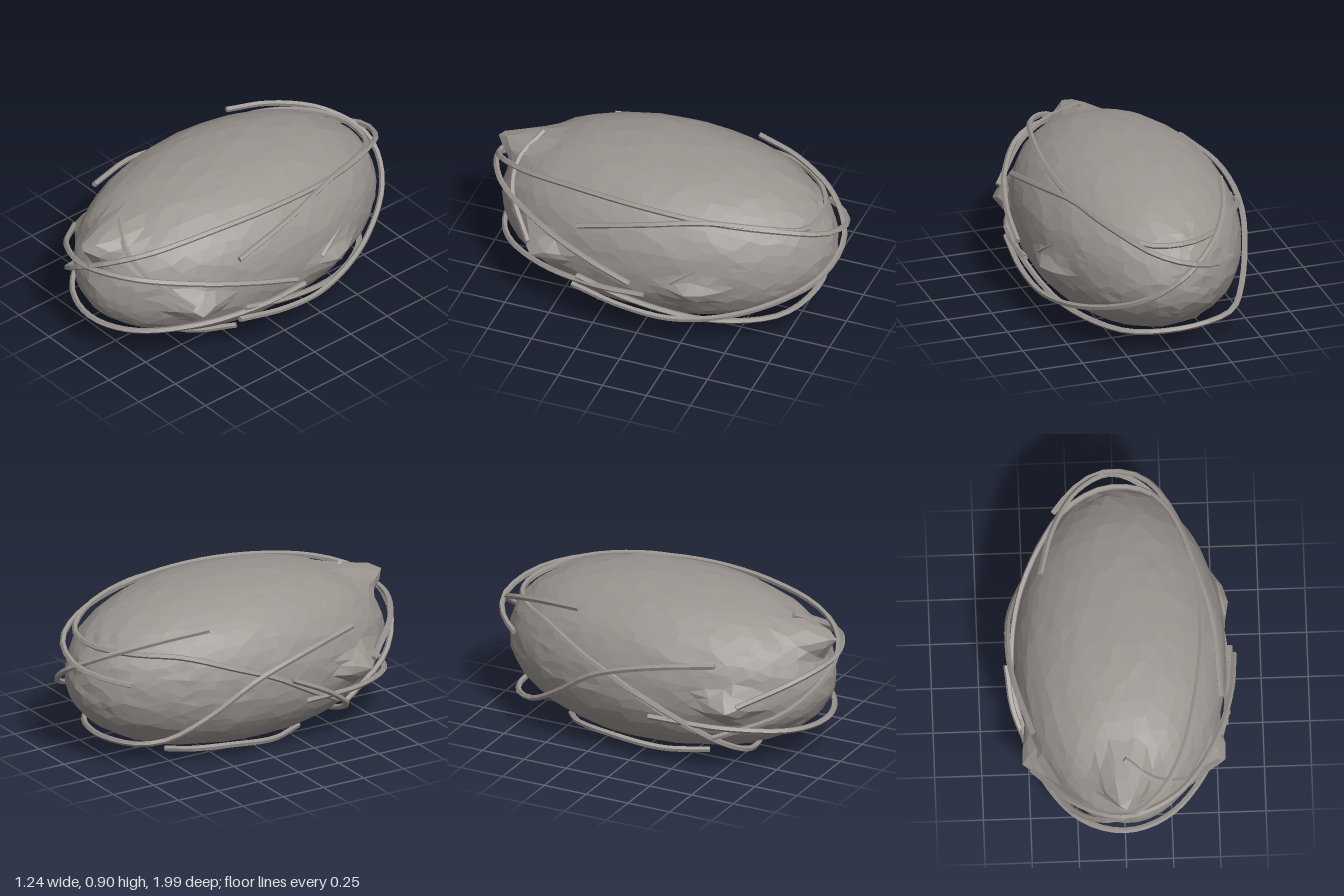
import * as THREE from 'three';
import { mergeVertices } from 'three/addons/utils/BufferGeometryUtils.js';

const BASE = 0.08;   // height of the flat underside
const MID = 0.43;    // height of the widest section
const CENTRE = new THREE.Vector3(0, MID, 0);

// Egg-shaped level function about the centre: 1 on the surface, larger outside.
// The plan is an ellipse; the upper half is fuller than the lower.
function level(p) {
  const plan = Math.hypot(p.x / 0.562, p.z / 0.93);
  const [b, full] = p.y > 0 ? [0.47, 2.25] : [0.45, 2.05];
  return (plan ** full + Math.abs(p.y / b) ** full) ** (1 / full);
}

function seeded(seed) {
  return () => {
    seed = (seed * 16807) % 2147483647;
    return seed / 2147483647;
  };
}

// Knobs and spurs pulled out of the body: root on the surface, tip, reach along x, y, z
const BUMPS = [
  { root: [0, 0.7, 0.785], tip: [0, 0.715, 0.95], reach: [0.16, 0.13, 0.2] },
  { root: [0.45, 0.41, 0.56], tip: [0.545, 0.4, 0.58], reach: [0.17, 0.1, 0.18] },
  { root: [-0.45, 0.41, 0.56], tip: [-0.545, 0.4, 0.58], reach: [0.17, 0.1, 0.18] },
  { root: [0.53, 0.37, -0.32], tip: [0.58, 0.37, -0.34], reach: [0.2, 0.09, 0.2] },
];

function bodyGeometry() {
  const sphere = new THREE.IcosahedronGeometry(1, 9);
  sphere.deleteAttribute('normal');
  sphere.deleteAttribute('uv');
  const body = mergeVertices(sphere, 1e-4);
  const pos = body.attributes.position;
  const rand = seeded(77);
  const v = new THREE.Vector3();

  // Jittered sphere pressed to the egg shape
  for (let i = 0; i < pos.count; i++) {
    v.fromBufferAttribute(pos, i);
    v.set(v.x * 0.565, v.y * 0.455, v.z * 0.93);
    v.x += (rand() - 0.5) * 0.035;
    v.y += (rand() - 0.5) * 0.03;
    v.z += (rand() - 0.5) * 0.045;
    v.multiplyScalar((0.996 + rand() * 0.012) / level(v)).add(CENTRE);
    pos.setXYZ(i, v.x, v.y, v.z);
  }

  // Pull out each bump; the vertex nearest its root reaches the tip
  for (const { root, tip, reach } of BUMPS) {
    const r = new THREE.Vector3(...root);
    const pull = new THREE.Vector3(...tip).sub(r);
    const far = [];
    for (let i = 0; i < pos.count; i++) {
      v.fromBufferAttribute(pos, i).sub(r);
      far.push(Math.hypot(v.x / reach[0], v.y / reach[1], v.z / reach[2]));
    }
    const nearest = Math.min(...far);
    far.forEach((d, i) => {
      const w = d === nearest ? 1 : Math.min(1, 1.2 * Math.max(0, 1 - d));
      v.fromBufferAttribute(pos, i).addScaledVector(pull, w);
      pos.setXYZ(i, v.x, v.y, v.z);
    });
  }

  // Cut the underside flat
  for (let i = 0; i < pos.count; i++) pos.setY(i, Math.max(BASE, pos.getY(i)));
  body.computeVertexNormals();
  return body;
}

export function createModel() {
  const model = new THREE.Group();
  const stone = new THREE.MeshStandardMaterial({ color: 0x9a948f, flatShading: true });
  stone.name = 'warm grey stone';

  const add = (name, geometry, parent = model) => {
    const mesh = new THREE.Mesh(geometry, stone);
    mesh.name = name;
    parent.add(mesh);
    return mesh;
  };

  add('body', bodyGeometry());

  // Thin splinter lying on the left flank
  const splinter = add('leftSplinter', new THREE.ConeGeometry(0.012, 0.2, 4));
  splinter.position.set(0.542, 0.485, -0.29);
  splinter.quaternion.setFromUnitVectors(new THREE.Vector3(0, 1, 0), new THREE.Vector3(-0.035, 0.11, -0.16).normalize());

  // Wiry vines wrapped around the body, kept just clear of its surface
  const strand = (name, points) => {
    const rough = new THREE.CatmullRomCurve3(points.map((p) => new THREE.Vector3(...p)));
    const path = new THREE.CatmullRomCurve3(rough.getPoints(30).map((p) => {
      if (p.y < 0.12) return p;
      p.sub(CENTRE);
      return p.multiplyScalar(Math.max(1, 1.025 / level(p))).add(CENTRE);
    }));
    const group = new THREE.Group();
    group.name = name;
    add('strand', new THREE.TubeGeometry(path, 40, 0.016, 5), group);
    for (const t of [0, 1]) {
      const cap = add('strandEnd', new THREE.CircleGeometry(0.016, 5), group);
      const end = path.getPoint(t);
      cap.position.copy(end);
      cap.lookAt(end.clone().addScaledVector(path.getTangent(t), t ? 1 : -1));
    }
    model.add(group);
  };
  strand('upperFrontVine', [[0.605, 0.4, 0], [0.58, 0.48, 0.25], [0.48, 0.56, 0.56], [0.27, 0.615, 0.86],
    [0, 0.605, 0.97], [-0.25, 0.55, 0.88], [-0.49, 0.43, 0.63]]);
  strand('longDiagonalVine', [[-0.46, 0.21, 0.47], [-0.3, 0.36, 0.82], [-0.1, 0.53, 0.965], [0.1, 0.65, 0.94],
    [0.27, 0.725, 0.75], [0.38, 0.775, 0.4], [0.43, 0.785, 0], [0.4, 0.76, -0.4], [0.27, 0.71, -0.76],
    [0.13, 0.65, -0.93], [-0.07, 0.59, -0.975], [-0.22, 0.55, -0.9], [-0.33, 0.52, -0.78]]);
  strand('lowerFrontVine', [[0.585, 0.33, -0.07], [0.57, 0.31, 0.2], [0.47, 0.285, 0.55], [0.25, 0.25, 0.83],
    [0, 0.24, 0.92], [-0.25, 0.25, 0.84], [-0.47, 0.285, 0.55], [-0.58, 0.32, 0.15]]);
  strand('sideWrapVine', [[0.525, 0.64, 0.33], [0.5, 0.73, -0.05], [0.42, 0.765, -0.35], [0.3, 0.73, -0.68],
    [0.17, 0.68, -0.83], [-0.05, 0.67, -0.86], [-0.27, 0.67, -0.74], [-0.42, 0.655, -0.52],
    [-0.53, 0.57, -0.25], [-0.575, 0.49, -0.035], [-0.565, 0.36, 0.2], [-0.5, 0.25, 0.4]]);
  strand('bottomFrontVine', [[0.4, 0.1, 0.25], [0.22, 0.045, 0.42], [0, 0.03, 0.52], [-0.25, 0.085, 0.56],
    [-0.45, 0.2, 0.48], [-0.57, 0.35, 0.28], [-0.605, 0.47, 0.05]]);
  strand('undersideVine', [[-0.21, 0.018, 0.33], [-0.33, 0.03, 0.1], [-0.38, 0.075, -0.2], [-0.32, 0.075, -0.4],
    [-0.21, 0.06, -0.5]]);
  strand('shortNoseVine', [[0, 0.795, 0.72], [0.15, 0.705, 0.8], [0.31, 0.61, 0.78], [0.5, 0.44, 0.62]]);
  strand('rearWrapVine', [[-0.41, 0.775, -0.35], [-0.34, 0.74, -0.6], [-0.2, 0.66, -0.85], [0, 0.54, -0.985],
    [0.2, 0.4, -0.92], [0.42, 0.26, -0.62], [0.54, 0.19, -0.25], [0.57, 0.215, 0.05], [0.55, 0.27, 0.35]]);
  strand('lowRearVine', [[0.56, 0.34, 0.32], [0.55, 0.25, 0], [0.47, 0.175, -0.4], [0.25, 0.14, -0.72],
    [0, 0.155, -0.82], [-0.2, 0.17, -0.81], [-0.34, 0.18, -0.74], [-0.43, 0.21, -0.61], [-0.53, 0.34, -0.4],
    [-0.59, 0.5, -0.17], [-0.58, 0.6, 0.15], [-0.48, 0.64, 0.5]]);
  return model;
}
